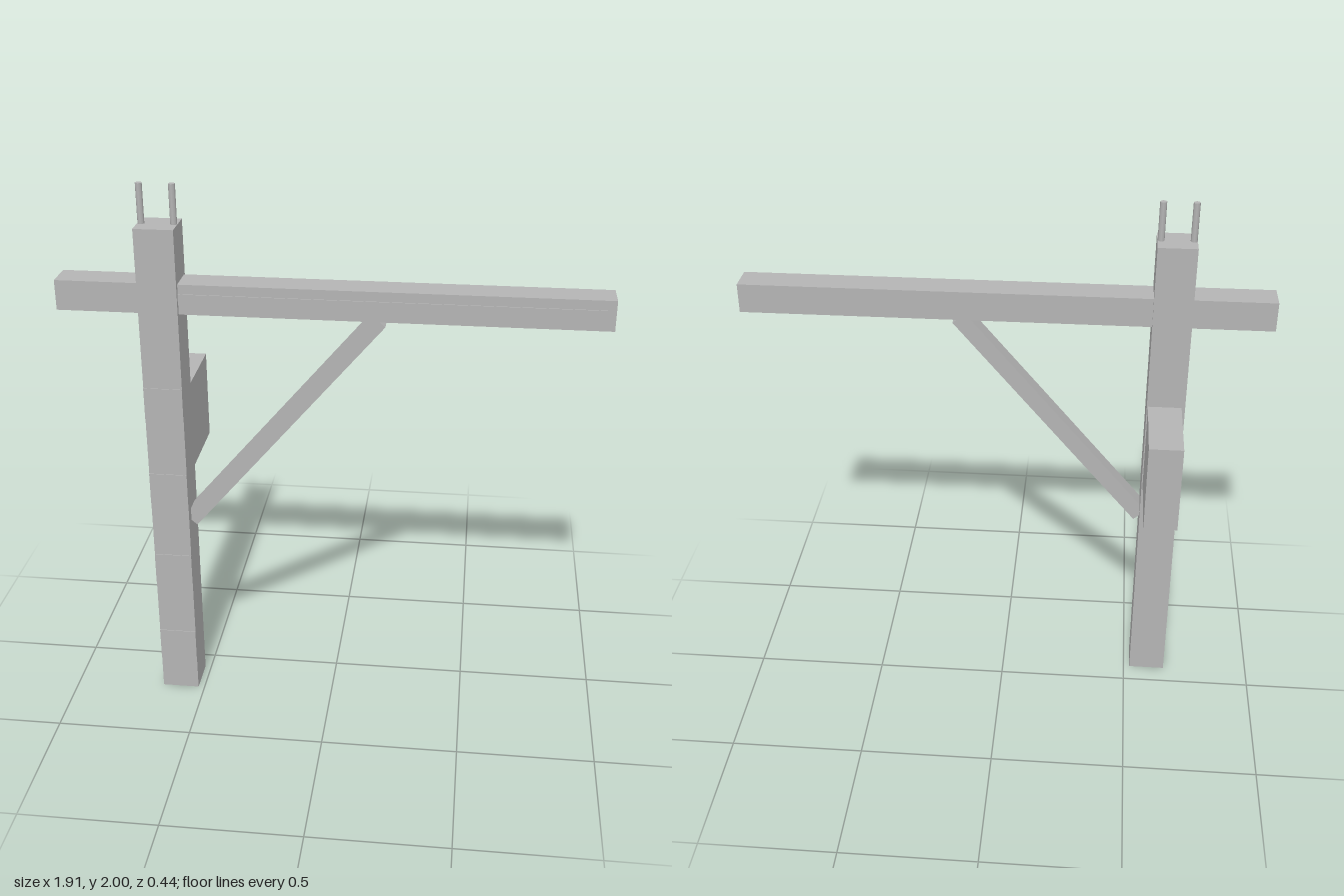
import * as THREE from 'three';

export function createModel() {
  const model = new THREE.Group();
  model.name = 'signalPost';
  const grey = new THREE.MeshStandardMaterial({ name: 'grey', color: 0xb4b4b4 });

  function add(name, geometry, x, y, z) {
    const mesh = new THREE.Mesh(geometry, grey);
    mesh.name = name;
    mesh.position.set(x, y, z);
    model.add(mesh);
    return mesh;
  }

  // box given by its low and high limits on each axis
  function block(name, [x0, x1], [y0, y1], [z0, z1]) {
    return add(name, new THREE.BoxGeometry(x1 - x0, y1 - y0, z1 - z0),
      (x0 + x1) / 2, (y0 + y1) / 2, (z0 + z1) / 2);
  }

  // upright post, cross beam and the cabinet behind the post
  block('post', [-0.663, -0.524], [0, 1.86], [0.078, 0.216]);
  block('crossBeam', [-0.956, 0.956], [1.556, 1.664], [0.09, 0.2]);
  block('cabinet', [-0.65, -0.528], [0.905, 1.24], [-0.22, 0.08]);

  // thin strip along the beam front
  block('beamStrip', [-0.53, 0.925], [1.59, 1.63], [0.198, 0.204]);

  // thin bands on the post front
  for (const y of [0.2, 0.54, 0.88, 1.22]) {
    block('postBand', [-0.663, -0.524], [y - 0.06, y + 0.06], [0.215, 0.219]);
  }

  // diagonal brace from post to beam
  const brace = add('brace', new THREE.BoxGeometry(1.068, 0.06, 0.065), -0.18, 1.143, 0.147);
  brace.rotation.z = Math.atan2(0.815, 0.69);

  // two pins on top of the post
  for (const x of [-0.65, -0.537]) {
    add('pin', new THREE.CylinderGeometry(0.012, 0.012, 0.16, 8), x, 1.92, 0.147);
  }

  return model;
}
